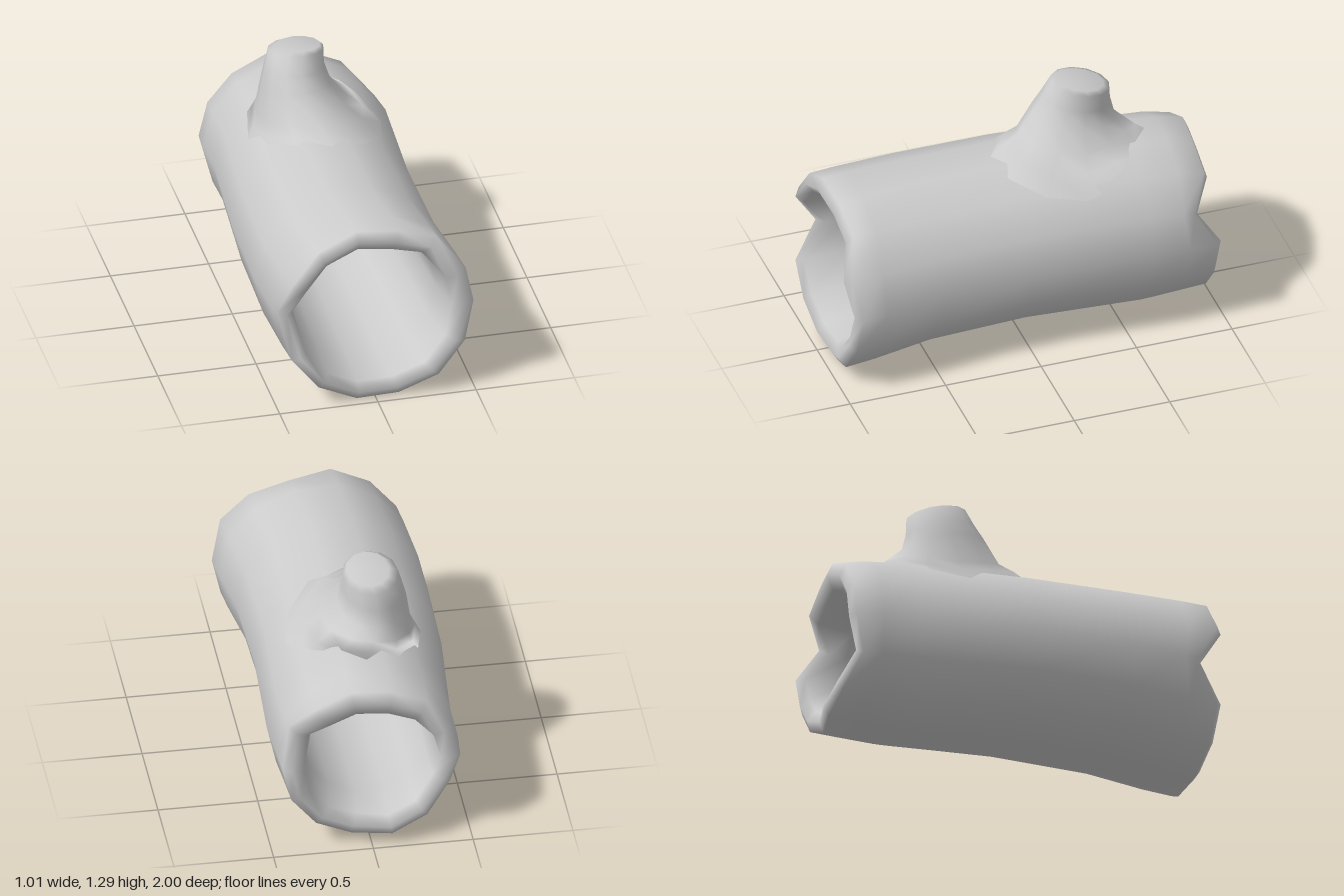
import * as THREE from 'three';
import { mergeVertices } from 'three/addons/utils/BufferGeometryUtils.js';

const material = new THREE.MeshStandardMaterial({ color: 0xcccccc, side: THREE.DoubleSide });

// Skins a list of rings (each an array of Vector3) with smooth normals
function loft(name, rings, closed) {
  const n = rings[0].length;
  const index = [];
  const last = closed ? rings.length : rings.length - 1;
  for (let i = 0; i < last; i++) {
    const j = (i + 1) % rings.length;
    for (let k = 0; k < n; k++) {
      const l = (k + 1) % n;
      const a = i * n + k, b = i * n + l, c = j * n + k, d = j * n + l;
      index.push(a, b, c, b, d, c);
    }
  }
  let geometry = new THREE.BufferGeometry().setFromPoints(rings.flat());
  geometry.setIndex(index);
  geometry = mergeVertices(geometry, 1e-4);
  geometry.computeVertexNormals();
  const mesh = new THREE.Mesh(geometry, material);
  mesh.name = name;
  return mesh;
}

// Hollow trunk: outer wall, rounded front lip, inner wall, rounded back lip
function makeTrunk() {
  const sides = 14;
  // Ragged ends, one z offset per side, counter-clockwise from +x
  const frontEdge = [-0.01, 0.03, -0.02, -0.02, 0.0, 0.0, 0.01, -0.11, 0.01, 0.01, 0.0, -0.01, 0.02, 0.01];
  const backEdge = [-0.01, 0.1, 0.01, 0.01, -0.01, 0.0, 0.0, 0.0, 0.05, -0.01, -0.03, 0.01, 0.0, 0.0];
  // z, centre x, centre y, radius x, radius y, front raggedness, back raggedness
  const sections = [
    [-0.94, 0.00, 0.482, 0.445, 0.428, 0, 1],
    [-0.80, 0.00, 0.495, 0.455, 0.45, 0, 0.2],
    [-0.60, 0.01, 0.505, 0.46, 0.465, 0, 0],
    [0.00, -0.03, 0.505, 0.47, 0.458, 0, 0],
    [0.50, -0.03, 0.495, 0.48, 0.465, 0, 0],
    [0.80, 0.00, 0.486, 0.488, 0.486, 0.3, 0],
    [0.94, 0.015, 0.483, 0.488, 0.49, 1, 0],
    [0.97, 0.01, 0.48, 0.44, 0.44, 1, 0],
    [0.935, 0.0, 0.478, 0.395, 0.39, 1, 0],
    [0.75, -0.01, 0.475, 0.37, 0.36, 0.2, 0],
    [0.00, -0.02, 0.465, 0.335, 0.30, 0, 0],
    [-0.75, -0.02, 0.458, 0.325, 0.275, 0, 0],
    [-0.93, -0.005, 0.468, 0.345, 0.305, 0, 1],
    [-0.965, 0.00, 0.478, 0.40, 0.37, 0, 1],
  ];
  const rings = sections.map(([z, cx, cy, rx, ry, front, back]) =>
    Array.from({ length: sides }, (_, k) => {
      const a = (k / sides) * Math.PI * 2;
      const dent = k === 3 ? 0.035 * front : 0;
      return new THREE.Vector3(
        cx + rx * Math.cos(a),
        cy + ry * Math.sin(a) - dent,
        z + front * frontEdge[k] + back * backEdge[k]);
    }));
  return loft('hollowTrunk', rings, true);
}

// Branch stub: flared foot following the trunk, narrowing to a slanted blunt top
function makeBranch() {
  const sides = 12;
  const trunkTop = x => 0.5 + 0.455 * Math.sqrt(1 - (x / 0.48) ** 2);
  // x min, x max, z back, z front, height as a function of x and z
  const slant = h => (x, z) => h + 0.2 * (z + 0.41);
  const sections = [
    [-0.35, 0.33, -0.72, 0.10, x => trunkTop(x) - 0.012],
    [-0.315, 0.24, -0.68, 0.02, (x, z) => trunkTop(x) + 0.018 + 0.04 * (z + 0.41)],
    [-0.29, 0.16, -0.64, -0.07, (x, z) => trunkTop(x) + 0.05 + 0.05 * (z + 0.41)],
    [-0.265, 0.085, -0.585, -0.16, slant(1.07)],
    [-0.245, 0.06, -0.565, -0.21, slant(1.15)],
    [-0.22, 0.06, -0.555, -0.255, slant(1.245)],
    [-0.175, 0.04, -0.52, -0.28, slant(1.265)],
    [-0.075, -0.075, -0.41, -0.41, slant(1.265)],
  ];
  const rings = sections.map(([x0, x1, z0, z1, height]) =>
    Array.from({ length: sides }, (_, k) => {
      const a = (k / sides) * Math.PI * 2;
      const x = (x0 + x1) / 2 + (x1 - x0) / 2 * Math.cos(a);
      const z = (z0 + z1) / 2 - (z1 - z0) / 2 * Math.sin(a);
      return new THREE.Vector3(x, height(x, z), z);
    }));
  const branch = loft('branchStub', rings, false);
  // The foot takes the trunk's normals so the two blend without a seam
  rings[0].forEach((p, k) => {
    const normal = new THREE.Vector3(p.x / 0.48 ** 2, (p.y - 0.5) / 0.455 ** 2, 0).normalize();
    branch.geometry.attributes.normal.setXYZ(k, normal.x, normal.y, normal.z);
  });
  return branch;
}

export function createModel() {
  const log = new THREE.Group();
  log.name = 'hollowLog';
  log.add(makeTrunk(), makeBranch());
  return log;
}
